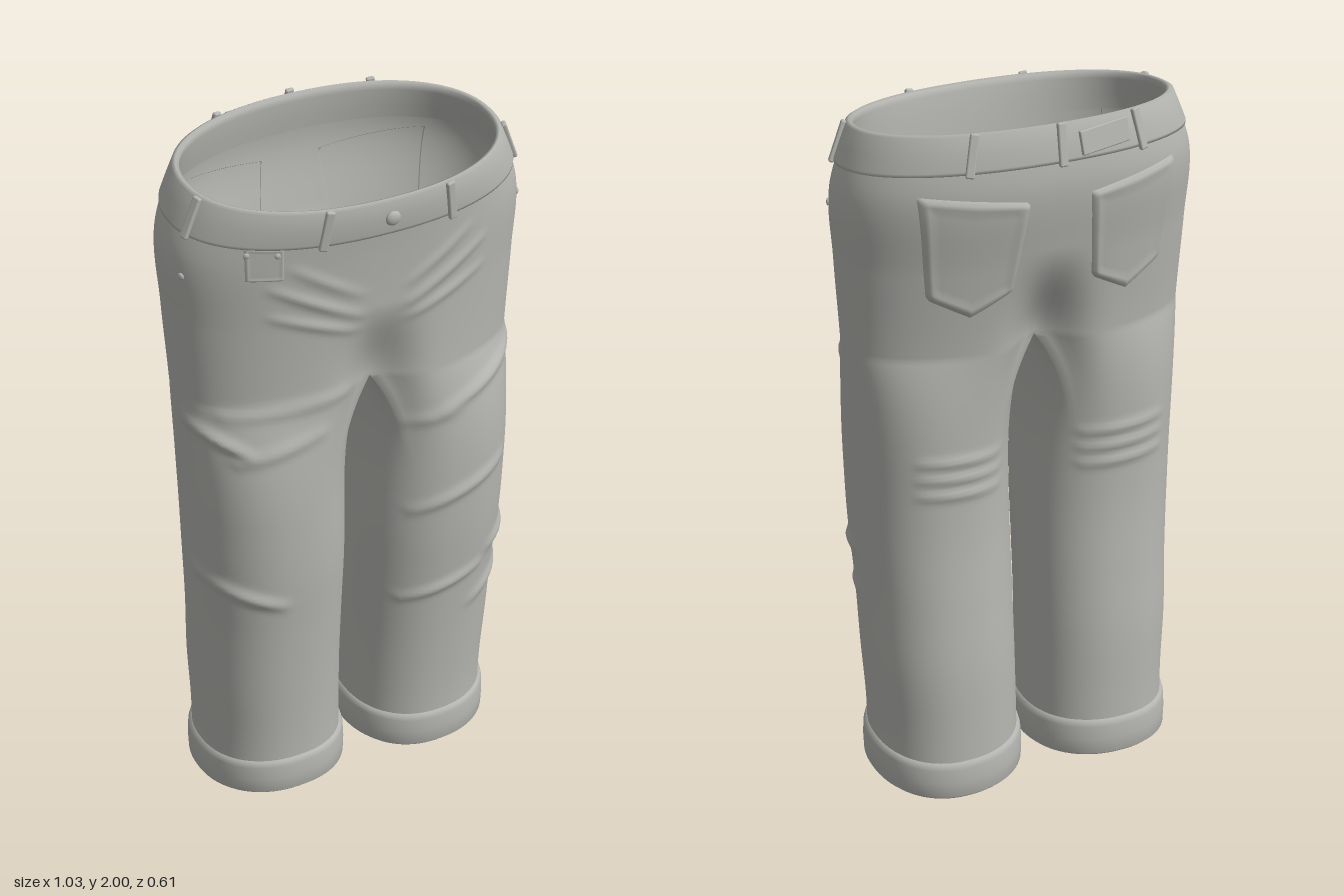
import * as THREE from 'three';
import { mergeGeometries, mergeVertices } from 'three/addons/utils/BufferGeometryUtils.js';
import { RoundedBoxGeometry } from 'three/addons/geometries/RoundedBoxGeometry.js';

const { lerp, smoothstep } = THREE.MathUtils;
const PI = Math.PI, CROTCH = 1.36, N = 2.2;

// Silhouette curves sampled every 0.2 in height, from the ground to the waist
const spline = (values) => {
  const c = new THREE.SplineCurve(values.map((v, i) => new THREE.Vector2(i, v)));
  return (y) => c.getPoint(THREE.MathUtils.clamp(y / 2, 0, 1)).y;
};
const outer = spline([0.45, 0.45, 0.46, 0.465, 0.475, 0.48, 0.485, 0.495, 0.505, 0.508, 0.44]);
const front = spline([0.2, 0.2, 0.21, 0.225, 0.243, 0.25, 0.25, 0.247, 0.252, 0.265, 0.285]);
const back = spline([0.245, 0.24, 0.235, 0.22, 0.207, 0.207, 0.217, 0.233, 0.262, 0.295, 0.272]);
const inner = spline([0.026, 0.028, 0.03, 0.03, 0.03, 0.033, 0.03, 0.03, 0.03, 0.03, 0.03]);

const sp = (v) => Math.sign(v) * Math.abs(v) ** (2 / N);
// Waist rises toward the back
const tilt = (p) => { p.y -= p.z * 0.1 * smoothstep(p.y, 1.4, 1.87); return p; };
// Hollow along the centre seam near the crotch
const hollow = (x, y, z) =>
  1 - (z > 0 ? 0.3 : 0.4) * (1 - smoothstep(y, CROTCH, 1.64)) * Math.exp(-((x / 0.09) ** 2));

// Hip cross-section: a = 0 at the front, PI at the back
function hip(a, y, off = 0) {
  const s = Math.sin(a), c = Math.cos(a);
  const x = sp(s) * (outer(y) + off);
  const z = sp(c) * ((c > 0 ? front(y) : back(y)) + off);
  return new THREE.Vector3(x, y, z * hollow(x, y, z));
}
// Leg cross-section on the +x side: f = 0 outside, PI/2 front
function leg(f, y, off = 0) {
  const o = outer(y), i = inner(y), fr = front(y), b = back(y);
  return new THREE.Vector3((o + i) / 2 + sp(Math.cos(f)) * ((o - i) / 2 + off), y,
    (fr - b) / 2 + sp(Math.sin(f)) * ((fr + b) / 2 + off));
}

// Fabric folds: x1, y1, x2, y2, height, width
const whiskers = [[0.08, 1.62, 0.3, 1.74, 0.008, 0.016], [0.09, 1.57, 0.3, 1.65, 0.007, 0.016],
  [0.08, 1.69, 0.25, 1.8, 0.006, 0.016]];
const kneeFolds = [1.05, 1.0, 0.95].map((y) => [0.13, y, 0.36, y + 0.015, 0.009, 0.014]);
const mirrored = (list) => list.flatMap((w) => [w, [-w[0], w[1], -w[2], ...w.slice(3)]]);
const frontFolds = [...mirrored(whiskers),
  [-0.49, 1.3, -0.38, 1.24, 0.014, 0.018], [-0.4, 1.21, -0.18, 1.27, 0.01, 0.018],
  [-0.42, 1.34, -0.1, 1.37, 0.009, 0.02], [0.2, 1.23, 0.47, 1.32, 0.012, 0.018],
  [0.1, 1.2, 0.24, 1.22, 0.007, 0.02], [0.12, 0.9, 0.4, 1.0, 0.011, 0.018],
  [0.1, 0.58, 0.33, 0.65, 0.011, 0.016], [0.32, 0.52, 0.46, 0.6, 0.01, 0.018],
  [0.38, 0.69, 0.48, 0.74, 0.013, 0.02], [-0.47, 0.8, -0.3, 0.73, 0.013, 0.02]];
const backFolds = mirrored(kneeFolds);
function addFolds(p) {
  let h = 0;
  const isFront = p.z > 0;
  for (const [x1, y1, x2, y2, amp, w] of isFront ? frontFolds : backFolds) {
    const dx = x2 - x1, dy = y2 - y1;
    const k = THREE.MathUtils.clamp(((p.x - x1) * dx + (p.y - y1) * dy) / (dx * dx + dy * dy), 0, 1);
    const d2 = (p.x - x1 - k * dx) ** 2 + (p.y - y1 - k * dy) ** 2;
    h += amp * Math.exp(-d2 / (w * w)) * (0.5 + 0.5 * Math.sin(PI * k));
  }
  h *= smoothstep(Math.abs(p.z), 0, 0.06);
  const dir = new THREE.Vector3(Math.sign(p.x) * Math.max(0, Math.abs(p.x) - 0.25), 0, p.z);
  return dir.lengthSq() > 1e-8 ? p.addScaledVector(dir.normalize(), h) : p;
}

// Surface from a rule: u runs along a row, v runs from row to row
function grid(nu, nv, fn, flip = false) {
  const pos = [], idx = [];
  for (let j = 0; j <= nv; j++) for (let i = 0; i <= nu; i++) pos.push(...fn(i / nu, j / nv, j).toArray());
  for (let j = 0; j < nv; j++) for (let i = 0; i < nu; i++) {
    const a = j * (nu + 1) + i, b = a + 1, c = a + nu + 1, d = c + 1;
    idx.push(...(flip ? [a, b, c, b, d, c] : [a, c, b, b, c, d]));
  }
  const g = new THREE.BufferGeometry();
  g.setAttribute('position', new THREE.Float32BufferAttribute(pos, 3));
  g.setIndex(idx);
  return g;
}
function smooth(...parts) {
  const g = mergeVertices(mergeGeometries(parts), 1e-5);
  g.computeVertexNormals();
  return g;
}

export function createModel() {
  const model = new THREE.Group();
  model.name = 'trousers';
  const cloth = new THREE.MeshStandardMaterial({ color: 0xb5b5b1, side: THREE.DoubleSide });
  cloth.name = 'greyCloth';
  const add = (name, geometry) => {
    const m = new THREE.Mesh(geometry, cloth);
    m.name = name;
    model.add(m);
    return m;
  };

  // Hips and legs: outer shells plus inner thighs, joined into one skin
  const SEAM = (130 * PI) / 180;
  const split = (y) => (y >= CROTCH ? 0 : 1 - Math.max(0, 1 - (CROTCH - y) / 0.36) ** 2.5);
  const finish = (p, s) => { p.x *= s; return tilt(addFolds(p)); };
  const shell = (s, t, y) => finish(hip(t * PI, y).lerp(leg(lerp(SEAM, -SEAM, t), y), split(y)), s);
  const thigh = (s, t, y) => {
    const a = hip(0, y), b = hip(PI, y);
    b.x = a.x = 0;
    return finish(a.lerp(b, t).lerp(leg(lerp(SEAM, 2 * PI - SEAM, t), y), split(y)), s);
  };
  const down = (v) => lerp(CROTCH, 0.1, v);
  add('hipsAndLegs', smooth(...[1, -1].flatMap((s) => [
    grid(72, 50, (t, v) => shell(s, t, lerp(1.875, CROTCH, v)), s < 0),
    grid(72, 110, (t, v) => shell(s, t, down(v)), s < 0),
    grid(28, 110, (t, v) => thigh(s, t, down(v)), s > 0),
  ])));

  // Waistband
  const band = [[1.86, -0.02], [1.9, -0.02], [1.95, -0.018], [1.967, -0.014], [1.972, -0.004], [1.966, 0.005],
    [1.92, 0.008], [1.878, 0.008], [1.869, 0.005], [1.866, -0.012]];
  add('waistband', smooth(grid(128, band.length - 1,
    (u, v, j) => tilt(hip(u === 1 ? 0 : u * 2 * PI, band[j][0], band[j][1])))));

  // Place a part flat on the hip surface
  const place = (mesh, a, y, off) => {
    const at = (da, dy) => tilt(hip(a + da, y + dy, off));
    const up = at(0, 0.03).sub(at(0, -0.03)).normalize();
    const side = at(0.03, 0).sub(at(-0.03, 0)).normalize();
    const out = side.clone().cross(up).normalize();
    mesh.quaternion.setFromRotationMatrix(new THREE.Matrix4().makeBasis(up.clone().cross(out), up, out));
    mesh.position.copy(at(0, 0));
  };

  // Belt loops and the patch on the back of the band
  for (const a of [0.347, -0.347, 1.32, -1.32, PI - 0.485, PI + 0.485, PI]) {
    place(add('beltLoop', new RoundedBoxGeometry(0.024, 0.115, 0.014, 2, 0.005)), a, 1.918, 0.011);
  }
  place(add('backPatch', new RoundedBoxGeometry(0.15, 0.065, 0.012, 2, 0.004)), PI + 0.235, 1.92, 0.009);

  // Button and rivets
  const stud = (name, r, a, y, off) => {
    const g = new THREE.SphereGeometry(r, 20, 12);
    g.scale(1, 1, 0.5);
    place(add(name, g), a, y, off);
  };
  stud('button', 0.021, 0, 1.92, 0.012);
  for (const s of [1, -1]) stud('sideRivet', 0.01, s * 1.3, 1.755, 0.001);
  for (const a of [-0.8, -0.6]) stud('pocketRivet', 0.008, a, 1.852, 0.004);

  // Patch that follows the hips, with sunken edges
  const patch = (name, outline, sign, thick) => {
    const g = grid(24, 24, (u, v) => {
      const [x, y] = outline(u * 2 - 1, v);
      const edge = Math.min(u, 1 - u, v, 1 - v);
      const off = -0.002 + thick * smoothstep(edge, 0, 0.045) - thick * 0.3 * smoothstep(edge, 0.05, 0.13);
      const depth = (1 - (Math.abs(x) / outer(y)) ** N) ** (1 / N) * (sign > 0 ? front(y) : back(y));
      return tilt(new THREE.Vector3(x, y, sign * (depth * hollow(x, y, sign) + off)));
    }, sign < 0);
    add(name, smooth(g));
  };
  for (const s of [1, -1]) {
    patch('backPocket', (u, v) => [s * 0.23 + u * lerp(0.145, 0.115, v),
      1.8 + 0.02 * s * u - v * (0.26 + 0.06 * (1 - Math.abs(u)) + 0.02 * s * u)], -1, 0.013);
  }
  patch('coinPocket', (u, v) => [-0.325 + u * 0.047, 1.872 - v * 0.1], 1, 0.006);

  // Turned-up cuffs with a wavy hem
  const cuff = [[0.16, -0.008], [0.05, -0.018], [0.024, -0.012], [0.013, 0], [0.024, 0.011], [0.07, 0.013],
    [0.112, 0.011], [0.128, 0.007], [0.133, -0.004]];
  for (const s of [1, -1]) {
    add(s > 0 ? 'leftCuff' : 'rightCuff', smooth(grid(80, cuff.length - 1, (u, v, j) => {
      const f = PI / 2 - (u === 1 ? 0 : u * 2 * PI);
      const p = leg(f, cuff[j][0], cuff[j][1]);
      p.y += 0.005 * Math.sin(2 * f + s) + 0.03 * p.z;
      p.x *= s;
      return p;
    }, s < 0)));
  }
  return model;
}
